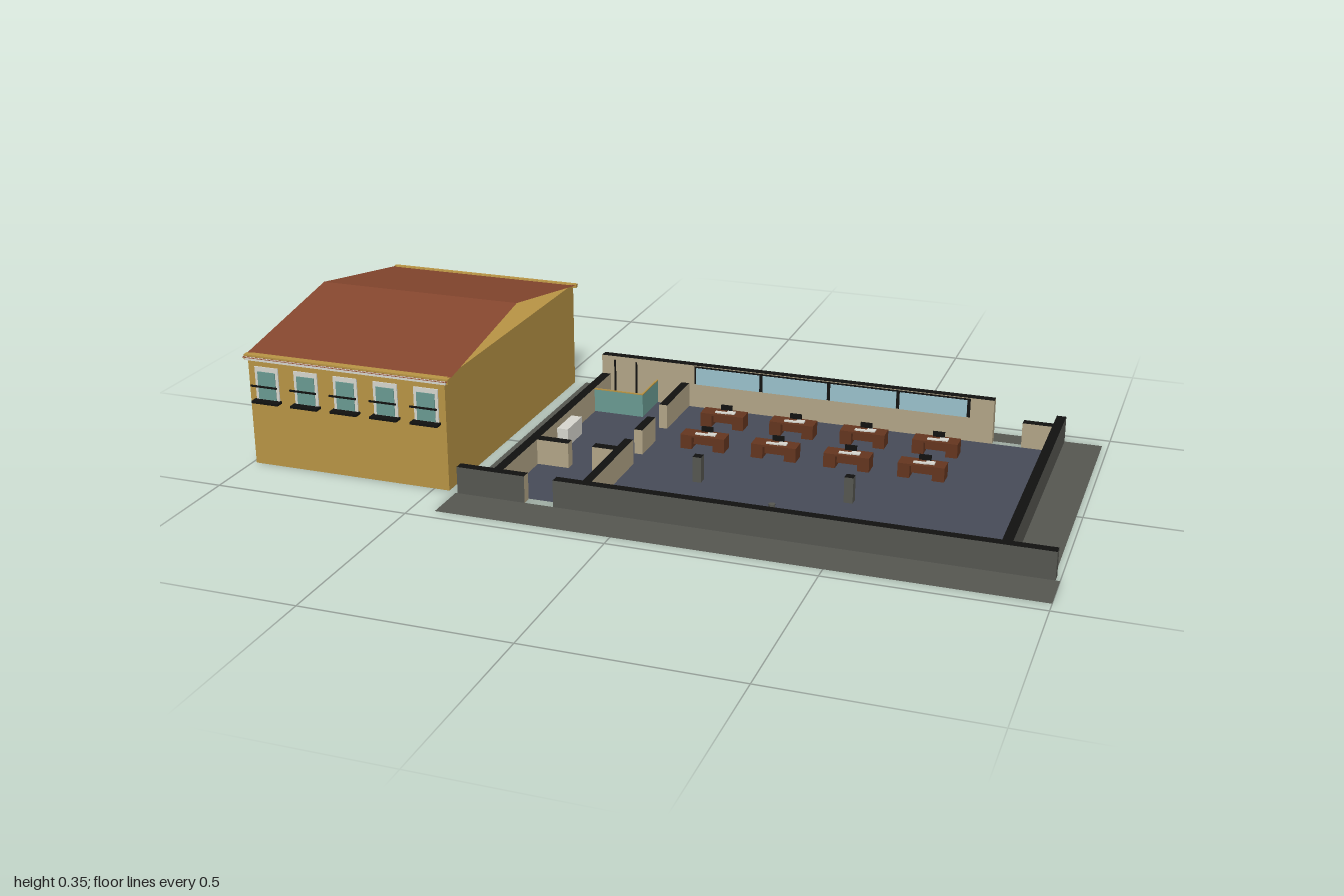
import * as THREE from 'three';

const mat = (name, color, double = false) => {
  const m = new THREE.MeshStandardMaterial({ color });
  m.name = name;
  if (double) m.side = THREE.DoubleSide;
  return m;
};

export function createModel() {
  const root = new THREE.Group();
  root.name = 'buildingSite';
  const ochre = mat('ochre plaster', 0xb99545, true);
  const tile = mat('roof tile', 0x86472f, true);
  const grey = mat('grey concrete', 0x565751, true);
  const blue = mat('slate floor', 0x474b58, true);
  const cream = mat('cream plaster', 0xb3a688);
  const black = mat('black', 0x111110);
  const sky = mat('pale blue glass', 0x9cc3ce);
  const teal = mat('teal glass', 0x6a9c93);
  const wood = mat('brown wood', 0x65361f);
  const white = mat('off white', 0xd9d8d0);

  const add = (name, geo, material, parent = root) => {
    const m = new THREE.Mesh(geo, material);
    m.name = name;
    parent.add(m);
    return m;
  };
  // Box given by its extents on each axis
  const box = (name, x0, x1, y0, y1, z0, z1, material, parent = root) => {
    const m = add(name, new THREE.BoxGeometry(x1 - x0, y1 - y0, z1 - z0), material, parent);
    m.position.set((x0 + x1) / 2, (y0 + y1) / 2, (z0 + z1) / 2);
    return m;
  };
  const group = (name, parent = root) => {
    const g = new THREE.Group();
    g.name = name;
    parent.add(g);
    return g;
  };
  // Flat horizontal sheet from [x, z] corners, with an optional hole
  const sheet = (name, pts, hole, y, material) => {
    const flip = (list) => list.map(([x, z]) => new THREE.Vector2(x, -z));
    const shape = new THREE.Shape(flip(pts));
    if (hole) shape.holes.push(new THREE.Path(flip(hole)));
    add(name, new THREE.ShapeGeometry(shape).rotateX(-Math.PI / 2), material).position.y = y;
  };
  const rect = (x0, x1, z0, z1) => [[x0, z0], [x1, z0], [x1, z1], [x0, z1]];

  // House: four walls and a ceiling, open underneath
  const house = group('house');
  const shell = new THREE.BoxGeometry(0.53, 0.285, 0.798);
  const idx = Array.from(shell.index.array);
  idx.splice(18, 6);
  shell.setIndex(idx);
  shell.clearGroups();
  add('houseWalls', shell, ochre, house).position.set(-0.725, 0.1425, -0.054);

  // Roof: a folded sheet with open gables
  const roof = new THREE.PlaneGeometry(0.55, 0.825, 1, 2).rotateX(-Math.PI / 2);
  const rp = roof.attributes.position;
  for (let i = 0; i < rp.count; i++) rp.setY(i, Math.abs(rp.getZ(i)) < 0.01 ? 0.352 : 0.28);
  const flatRoof = roof.toNonIndexed();
  flatRoof.computeVertexNormals();
  add('roof', flatRoof, tile, house).position.set(-0.725, 0, -0.0575);
  box('frontCornice', -1, -0.45, 0.273, 0.286, 0.332, 0.348, ochre, house);
  box('backCornice', -1, -0.45, 0.276, 0.286, -0.46, -0.448, ochre, house);
  box('frontGutter', -0.995, -0.455, 0.273, 0.281, 0.348, 0.352, white, house);

  // House windows
  for (let i = 0; i < 5; i++) {
    const w = group('window', house);
    w.position.set(-0.94 + i * 0.1075, 0, 0);
    box('windowFrame', -0.032, 0.032, 0.172, 0.258, 0.344, 0.348, white, w);
    box('windowGlass', -0.024, 0.024, 0.175, 0.246, 0.346, 0.35, teal, w);
    box('windowRail', -0.036, 0.036, 0.211, 0.215, 0.362, 0.366, black, w);
    box('windowSill', -0.036, 0.036, 0.168, 0.174, 0.345, 0.367, black, w);
  }

  // Pavement around the rooms, and the floor inside
  sheet('pavement',
    [[-0.43, -0.46], [0.985, -0.46], [0.985, 0.352], [1, 0.352], [1, 0.465], [-0.44, 0.465], [-0.44, 0.352], [-0.43, 0.352]],
    rect(-0.347, 0.89, -0.402, 0.352), 0, grey);
  sheet('floor', rect(-0.325, 0.867, -0.378, 0.33), null, 0.002, blue);

  // Low outer walls: cream inside, grey on the listed faces, black on top
  const H = 0.068;
  const walls = group('outerWalls');
  const wall = (name, x0, x1, z0, z1, greyFaces) => {
    const mats = [cream, cream, black, cream, cream, cream];
    greyFaces.forEach((f) => { mats[f] = grey; });
    box(name, x0, x1, 0, H, z0, z1, mats, walls);
  };
  const all = [0, 1, 3, 4, 5];
  wall('frontWall', -0.347, -0.26, 0.328, 0.352, [4]);
  wall('frontWall', -0.187, 0.89, 0.328, 0.352, [4]);
  wall('frontWingLeft', 0.89, 0.99, 0.328, 0.352, all);
  wall('frontWingRight', -0.435, -0.347, 0.328, 0.352, all);
  wall('sideWallRight', -0.347, -0.323, -0.402, 0.328, [1]);
  wall('sideWallLeft', 0.866, 0.89, -0.402, 0.328, [0]);
  wall('backWingRight', -0.347, -0.323, -0.46, -0.402, all);
  wall('backWingLeft', 0.866, 0.89, -0.46, -0.402, all);
  wall('backWall', -0.323, 0.718, -0.402, -0.378, [5]);
  wall('backWall', 0.792, 0.866, -0.402, -0.378, [5]);

  // Taller part of the back wall with four glass panels
  const upper = group('upperBackWall');
  box('upperWall', -0.347, 0.718, H, 0.12, -0.4, -0.376, [cream, cream, black, cream, cream, cream], upper);
  box('glazingFrame', -0.083, 0.658, H, 0.118, -0.377, -0.374, black, upper);
  for (let i = 0; i < 4; i++) {
    const x = -0.077 + i * 0.184;
    box('glassPanel', x, x + 0.175, H, 0.114, -0.376, -0.372, sky, upper);
  }

  // Inner partitions
  const inner = group('partitions');
  const topped = [cream, cream, black, cream, cream, cream];
  [
    [-0.12, -0.098, -0.378, -0.2], [-0.12, -0.098, -0.11, -0.015], [-0.12, -0.098, 0.05, 0.328],
    [-0.323, -0.24, 0.102, 0.128], [-0.177, -0.12, 0.102, 0.128],
  ].forEach(([x0, x1, z0, z1]) => box('partition', x0, x1, 0.003, H, z0, z1, topped, inner));

  // Corner booth with glass sides, poles and a counter
  const booth = group('cornerBooth');
  box('boothGlassFront', -0.323, -0.188, 0.003, 0.064, -0.262, -0.258, teal, booth);
  box('boothGlassSide', -0.191, -0.187, 0.003, 0.064, -0.376, -0.258, teal, booth);
  box('boothTrimFront', -0.323, -0.187, 0.064, 0.067, -0.262, -0.258, ochre, booth);
  box('boothTrimSide', -0.191, -0.187, 0.064, 0.067, -0.376, -0.258, ochre, booth);
  for (const x of [-0.285, -0.225]) box('pole', x - 0.002, x + 0.002, 0.003, 0.133, -0.315, -0.311, black, booth);
  box('counter', -0.323, -0.294, 0.003, 0.05, -0.095, 0, white);

  // Columns and a small floor drum
  for (const x of [0.087, 0.465]) {
    box('column', x - 0.011, x + 0.011, 0.003, H, 0.085, 0.107, [grey, grey, black, grey, grey, grey]);
  }
  add('floorDrum', new THREE.CylinderGeometry(0.008, 0.008, 0.012, 12), grey).position.set(0.303, 0.008, 0.193);

  // Desks in two rows of four
  for (const z of [-0.27, -0.11]) {
    for (let i = 0; i < 4; i++) {
      const d = group('desk');
      d.position.set(0.035 + i * 0.187, 0.003, z);
      for (const s of [-1, 1]) box('pedestal', s * 0.043 - 0.015, s * 0.043 + 0.015, 0, 0.032, -0.022, 0.022, wood, d);
      box('deskTop', -0.058, 0.058, 0.032, 0.037, -0.022, 0.022, wood, d);
      box('modestyPanel', -0.03, 0.03, 0.008, 0.032, -0.004, 0.004, wood, d);
      box('screen', -0.012, 0.018, 0.039, 0.052, -0.016, -0.01, black, d);
      box('keyboard', -0.022, 0.01, 0.037, 0.04, 0.002, 0.012, white, d);
      box('papers', 0.008, 0.03, 0.037, 0.04, -0.008, 0.01, white, d);
    }
  }
  return root;
}
